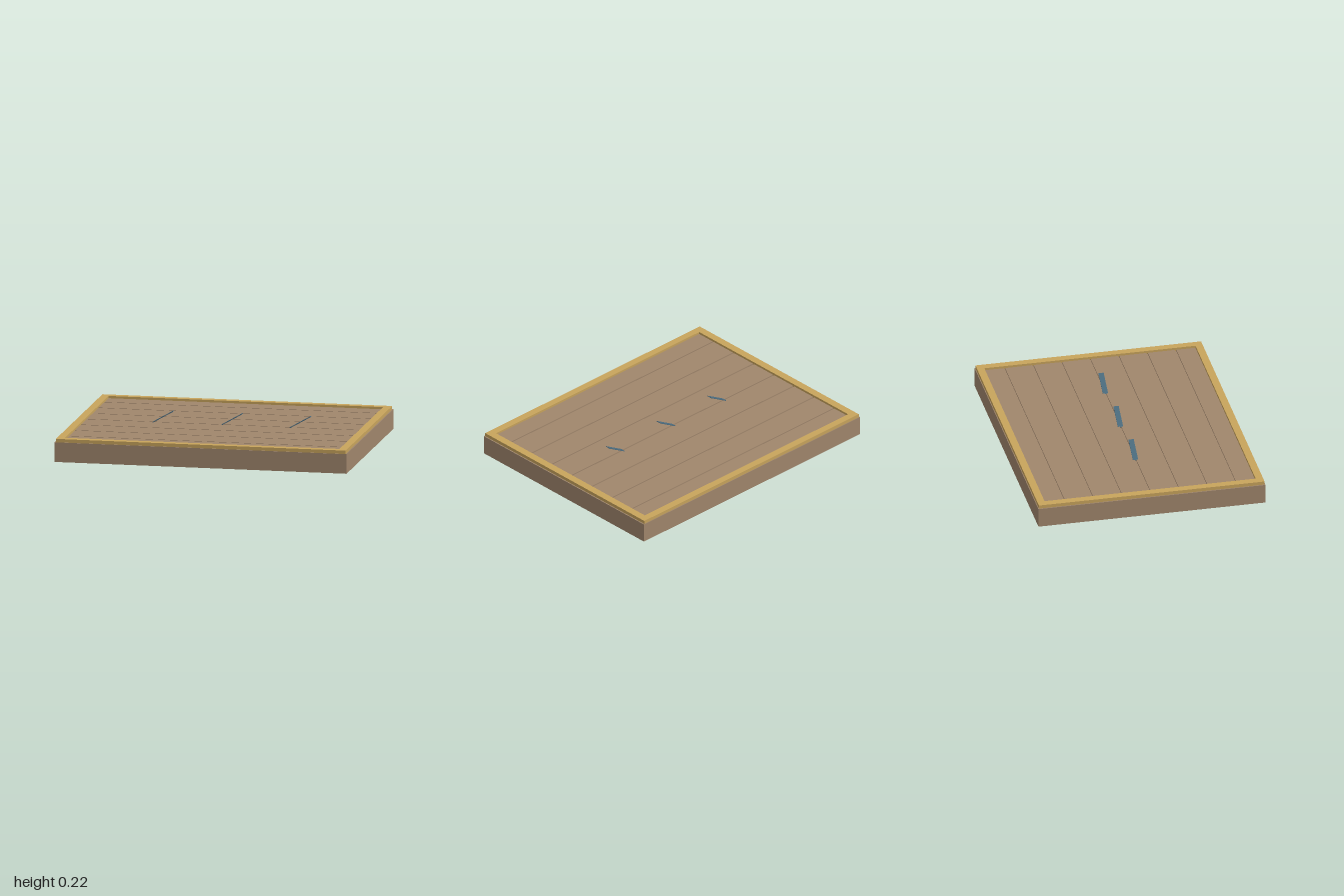
import * as THREE from 'three';

const mat = (name, color) => {
  const m = new THREE.MeshStandardMaterial({ color });
  m.name = name;
  return m;
};

export function createModel() {
  const group = new THREE.Group();
  const wood = mat('brown wood', 0xa0866c);
  const trim = mat('golden trim', 0xc8a45c);
  const steel = mat('blue steel', 0x4a6a7c);

  const add = (name, geometry, material, x, y, z) => {
    const mesh = new THREE.Mesh(geometry, material);
    mesh.name = name;
    mesh.position.set(x, y, z);
    group.add(mesh);
    return mesh;
  };

  // Solid base slab
  add('base', new THREE.BoxGeometry(2, 0.134, 1.56), wood, 0, 0.067, 0);

  // Eight deck planks with narrow gaps between them
  const pitch = 0.196;
  for (let i = 0; i < 8; i++) {
    const z0 = Math.max((i - 4) * pitch + 0.005, -0.75);
    const z1 = Math.min((i - 3) * pitch - 0.005, 0.75);
    add('plank', new THREE.BoxGeometry(1.92, 0.008, z1 - z0), wood, 0, 0.138, (z0 + z1) / 2);
  }

  // Raised border frame
  const rect = (Path, w, d) => new Path().setFromPoints([
    new THREE.Vector2(-w, -d), new THREE.Vector2(w, -d),
    new THREE.Vector2(w, d), new THREE.Vector2(-w, d), new THREE.Vector2(-w, -d),
  ]);
  const border = rect(THREE.Shape, 0.992, 0.775);
  border.holes.push(rect(THREE.Path, 0.94, 0.725));
  const frame = new THREE.ExtrudeGeometry(border, { depth: 0.023, bevelEnabled: false });
  frame.rotateX(-Math.PI / 2);
  add('frame', frame, trim, 0, 0.134, 0);

  // Three slanted blades rising out of the centre seam
  for (const x of [-0.417, 0.053, 0.522]) {
    const blade = add('blade', new THREE.BoxGeometry(0.166, 0.004, 0.036), steel, x, 0.18, 0);
    blade.rotation.z = Math.PI / 6;
  }
  return group;
}
